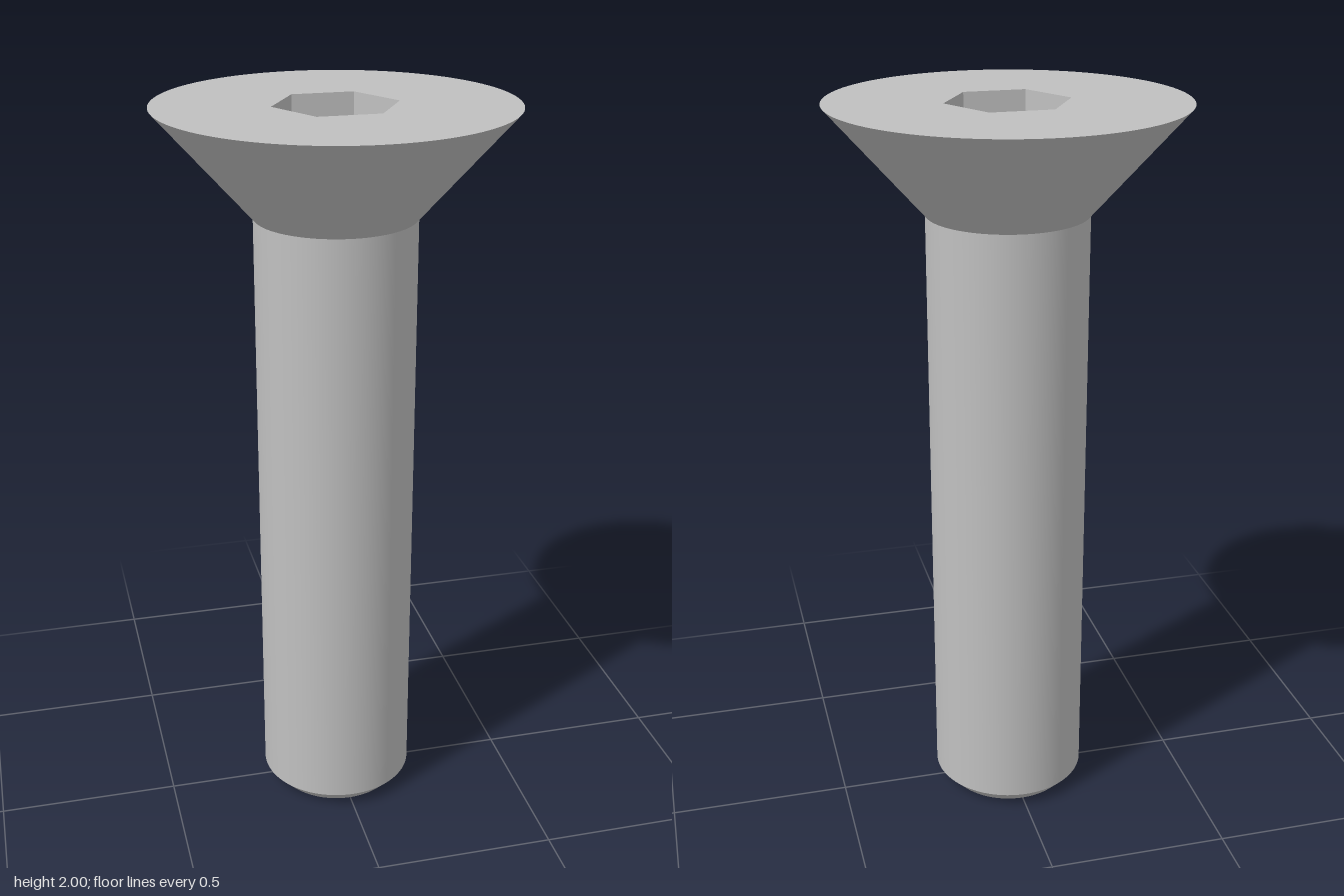
import * as THREE from 'three';

const SEG = 96;
const HEAD_R = 0.47, SHANK_R = 0.215, TIP_R = 0.177, HEX_R = 0.166;
const TOP = 2, NECK = 1.713, CHAMFER = 0.04, SOCKET_DEPTH = 0.18;

export function createModel() {
  const model = new THREE.Group();
  model.name = 'countersunkScrew';
  const steel = new THREE.MeshStandardMaterial({ color: 0xc0c0c0 });
  steel.name = 'steel grey';

  const add = (name, geometry, y = 0) => {
    const mesh = new THREE.Mesh(geometry, steel);
    mesh.name = name;
    mesh.position.y = y;
    model.add(mesh);
  };
  // Open conical band between two heights
  const band = (name, rTop, rBottom, y0, y1) =>
    add(name, new THREE.CylinderGeometry(rTop, rBottom, y1 - y0, SEG, 1, true), (y0 + y1) / 2);

  band('headCone', HEAD_R, SHANK_R, NECK, TOP);
  band('shank', SHANK_R, SHANK_R, CHAMFER, NECK);
  band('tipChamfer', SHANK_R, TIP_R, 0, CHAMFER);
  add('tipFace', new THREE.CircleGeometry(TIP_R, SEG).rotateX(Math.PI / 2));

  // Flat head face with a hexagonal opening
  const hex = [];
  for (let i = 0; i < 6; i++) {
    const a = i * Math.PI / 3;
    hex.push(new THREE.Vector2(HEX_R * Math.cos(a), HEX_R * Math.sin(a)));
  }
  const face = new THREE.Shape().absarc(0, 0, HEAD_R, 0, Math.PI * 2);
  face.holes.push(new THREE.Path(hex));
  add('headFace', new THREE.ShapeGeometry(face, SEG).rotateX(-Math.PI / 2), TOP);

  // Socket walls, mirrored so that they face inward, and the floor
  const walls = new THREE.CylinderGeometry(HEX_R, HEX_R, SOCKET_DEPTH, 6, 1, true, Math.PI / 6)
    .scale(1, 1, -1).toNonIndexed();
  walls.computeVertexNormals();
  add('socketWalls', walls, TOP - SOCKET_DEPTH / 2);
  add('socketFloor', new THREE.CircleGeometry(HEX_R, 6).rotateX(-Math.PI / 2), TOP - SOCKET_DEPTH);

  return model;
}
